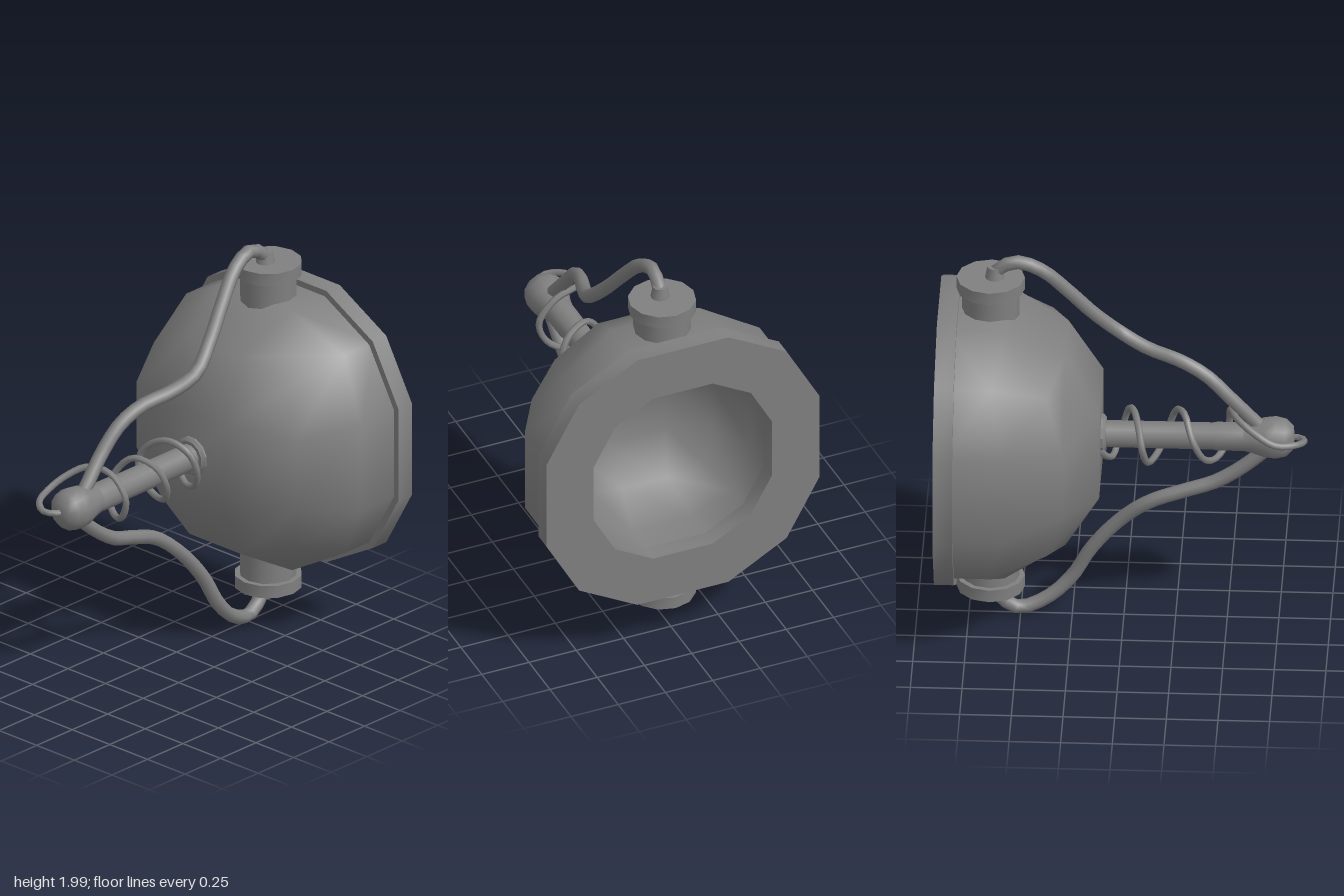
import * as THREE from 'three';
import { toCreasedNormals } from 'three/addons/utils/BufferGeometryUtils.js';

const CY = 1.015; // height of the main axis
const BOWL_Z = -0.8; // centre of the bowl's sphere
const POST_Z = -0.645;

// Front half of a rounded cube: a 3 x 3 x 3 box pushed out to a sphere,
// with its rear rows pulled straight to zMin and the back left open
function halfSphere(radius, zMin, inside) {
  const geo = new THREE.BoxGeometry(2, 2, 2, 3, 3, 3);
  const pos = geo.attributes.position;
  const v = new THREE.Vector3();
  for (let i = 0; i < pos.count; i++) {
    v.fromBufferAttribute(pos, i).setLength(radius);
    pos.setXYZ(i, v.x, v.y, Math.max(v.z, zMin));
  }
  const index = geo.index.array;
  const kept = [];
  for (let i = 0; i < index.length; i += 3) {
    const [a, b, c] = index.slice(i, i + 3);
    if (Math.max(pos.getZ(a), pos.getZ(b), pos.getZ(c)) < 0) continue;
    kept.push(a, inside ? c : b, inside ? b : c);
  }
  geo.setIndex(kept);
  return toCreasedNormals(geo, 1.2);
}

// Twelve-sided outline that matches the rounded cube seen from the front
function outline(radius) {
  const far = radius * 0.904;
  const near = radius * 0.301;
  const diagonal = radius * 0.688;
  const points = [];
  for (let q = 0; q < 4; q++) {
    for (const [x, y] of [[far, near], [diagonal, diagonal], [near, far]]) {
      points.push(new THREE.Vector2(x, y).rotateAround(new THREE.Vector2(), q * Math.PI / 2));
    }
  }
  return points;
}

export function createModel() {
  const model = new THREE.Group();
  const darkGrey = new THREE.MeshStandardMaterial({ color: 0x7f7f7f });

  const add = (name, geometry) => {
    const mesh = new THREE.Mesh(geometry, darkGrey);
    mesh.name = name;
    model.add(mesh);
    return mesh;
  };

  // Turned part along z; profile is [radius, z], outside faces when z increases
  const turned = (name, profile, crease) => {
    const pts = profile.map(([r, z]) => new THREE.Vector2(r, z));
    const geo = new THREE.LatheGeometry(pts, 12, Math.PI / 12);
    geo.rotateX(Math.PI / 2);
    add(name, toCreasedNormals(geo, crease)).position.y = CY;
  };

  // Smooth tube through points
  const tube = (name, points, radius, segments, sides) => {
    const curve = new THREE.CatmullRomCurve3(points.map((p) => new THREE.Vector3(...p)));
    add(name, new THREE.TubeGeometry(curve, segments, radius, sides));
  };

  // Bowl: outer shell, hollow inside and rim around the back opening
  add('bowlShell', halfSphere(0.763, -0.04, false)).position.set(0, CY, BOWL_Z);
  add('bowlHollow', halfSphere(0.522, -0.095, true)).position.set(0, CY, BOWL_Z);
  const rim = new THREE.Shape(outline(0.798));
  rim.holes.push(new THREE.Path(outline(0.522)));
  const rimGeo = new THREE.ExtrudeGeometry(rim, { depth: 0.095, bevelEnabled: false });
  add('bowlRim', toCreasedNormals(rimGeo, 0.8)).position.set(0, CY, -0.895);

  // Central rod with collar and pear-shaped tip
  turned('rodCollar', [[0.1, -0.13], [0.1, -0.1], [0.085, -0.085], [0.06, -0.085]], 0.5);
  turned('rod', [[0.068, -0.12], [0.068, 0.43], [0.072, 0.45], [0.072, 0.62]], 0.8);
  turned('rodTip', [[0.068, 0.56], [0.08, 0.62], [0.1, 0.68], [0.107, 0.735], [0.095, 0.785], [0.06, 0.82], [0, 0.828]], 0.8);

  // Posts, caps and tapered cable plugs above and below
  for (const [side, s] of [['upper', 1], ['lower', -1]]) {
    const stack = [
      ['Post', 0.14, 0.14, 0.55, 0.82, POST_Z],
      ['Cap', 0.166, 0.166, 0.798, 0.862, POST_Z],
      ['CablePlug', 0.049, 0.036, 0.855, 0.92, -0.625],
    ];
    for (const [part, r0, r1, y0, y1, z] of stack) {
      const geo = new THREE.CylinderGeometry(s > 0 ? r1 : r0, s > 0 ? r0 : r1, y1 - y0, 12);
      add(side + part, toCreasedNormals(geo, 0.6)).position.set(0, CY + s * (y0 + y1) / 2, z);
    }
  }

  // Cables from the caps to the rod tip
  tube('upperCable', [
    [0, 1.86, -0.635], [0, 1.92, -0.61], [-0.005, 1.965, -0.52], [0.01, 1.915, -0.4],
    [0.045, 1.78, -0.27], [0.08, 1.64, -0.15], [0.11, 1.515, -0.015], [0.075, 1.455, 0.11],
    [0.025, 1.415, 0.275], [0, 1.35, 0.4], [-0.01, 1.23, 0.52], [0, 1.09, 0.645], [0, 1.04, 0.69],
  ], 0.035, 30, 8);
  tube('lowerCable', [
    [-0.01, 0.17, -0.635], [-0.01, 0.11, -0.61], [0, 0.037, -0.51], [0.02, 0.085, -0.37],
    [0.035, 0.2, -0.25], [0.025, 0.36, -0.16], [0.01, 0.535, -0.015], [-0.015, 0.65, 0.125],
    [-0.01, 0.715, 0.3], [0, 0.76, 0.44], [0, 0.84, 0.565], [0, 0.93, 0.67], [0, 0.98, 0.72],
  ], 0.035, 30, 8);

  // Thin wire leaving the tip and coiling back around the rod
  tube('coilWire', [
    [0, 1.02, 0.81], [-0.015, 1.025, 0.855], [-0.06, 1.03, 0.876], [-0.125, 1.045, 0.835], [-0.163, 1.06, 0.74],
    [-0.14, 1.11, 0.64], [-0.07, 1.155, 0.55], [0.05, 1.14, 0.515], [0.14, 1.03, 0.506],
    [0.1, 0.92, 0.49], [0.01, 0.885, 0.445], [-0.08, 0.93, 0.39], [-0.1, 1.03, 0.34],
    [-0.01, 1.135, 0.295], [0.1, 1.1, 0.25], [0.14, 1.01, 0.22], [0.09, 0.91, 0.18],
    [0, 0.885, 0.145], [-0.12, 0.93, 0.115], [-0.162, 1.02, 0.095], [-0.1, 1.11, 0.075],
    [0, 1.145, 0.05], [0.1, 1.1, 0.02], [0.13, 1.01, -0.005], [0.09, 0.91, -0.035],
    [0.01, 0.885, -0.055], [-0.07, 0.94, -0.095], [-0.07, 0.99, -0.12],
  ], 0.017, 90, 6);

  return model;
}
